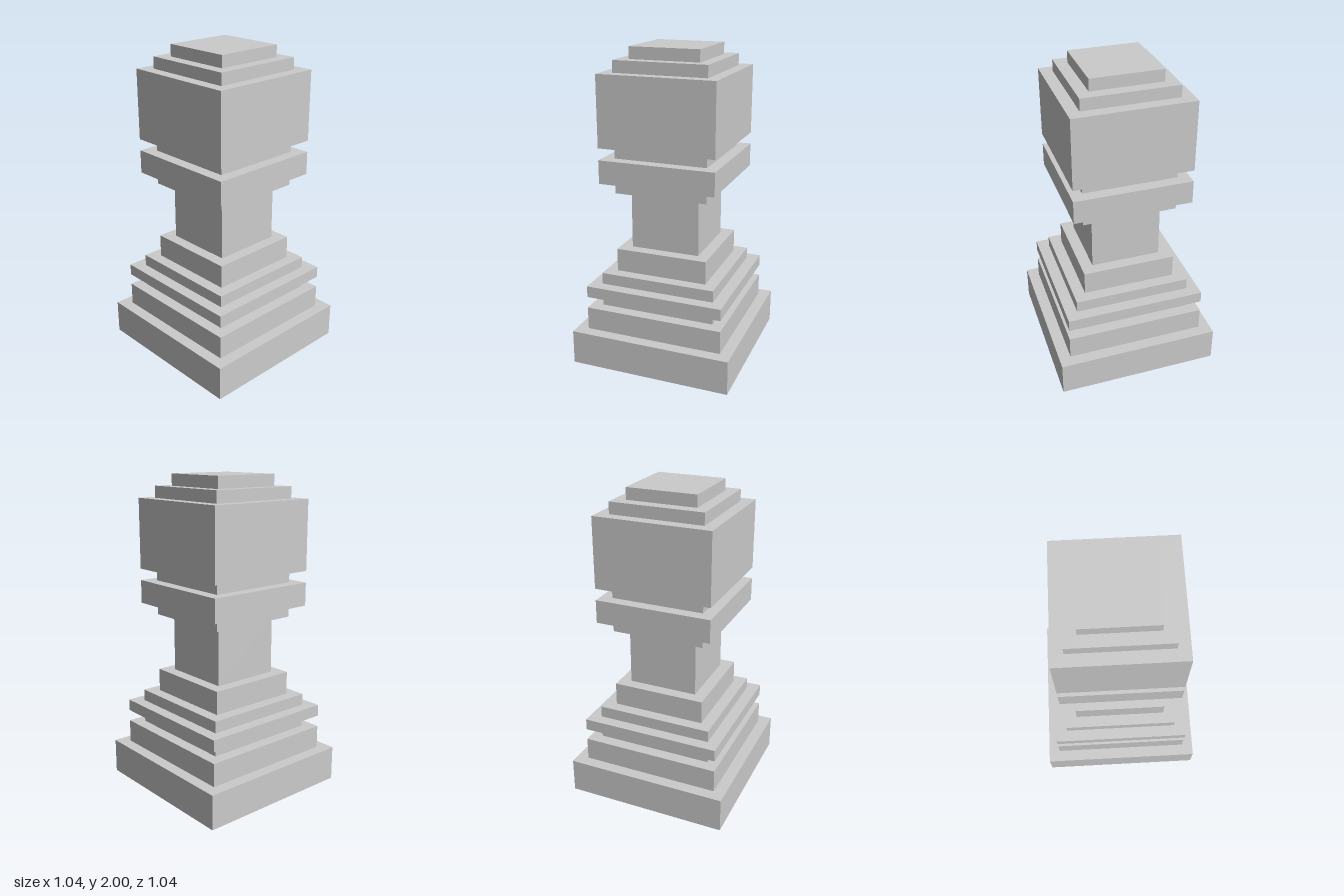
import * as THREE from 'three';

// One step of the stepped tower: 27 steps make the full height of 2
const STEP = 2 / 27;

// Square tiers from the ground up: name, half width and height in steps
const TIERS = [
  ['plinth', 7, 3],
  ['lowerBase', 6, 2],
  ['baseGroove', 5, 1],
  ['baseRim', 6, 1],
  ['upperBase', 5, 1],
  ['stemFoot', 4, 2],
  ['stem', 3, 5],
  ['collarUnderside', 4, 1],
  ['collar', 5, 2],
  ['neck', 4, 1],
  ['head', 5, 6],
  ['lowerCap', 4, 1],
  ['topCap', 3, 1],
];

export function createModel() {
  const group = new THREE.Group();
  group.name = 'steppedPawn';
  const material = new THREE.MeshStandardMaterial({ color: 0xcccccc, flatShading: true });

  // Stack each tier on the one below
  let y = 0;
  for (const [name, half, steps] of TIERS) {
    const width = 2 * half * STEP;
    const height = steps * STEP;
    const tier = new THREE.Mesh(new THREE.BoxGeometry(width, height, width), material);
    tier.name = name;
    tier.position.y = y + height / 2;
    group.add(tier);
    y += height;
  }
  return group;
}
